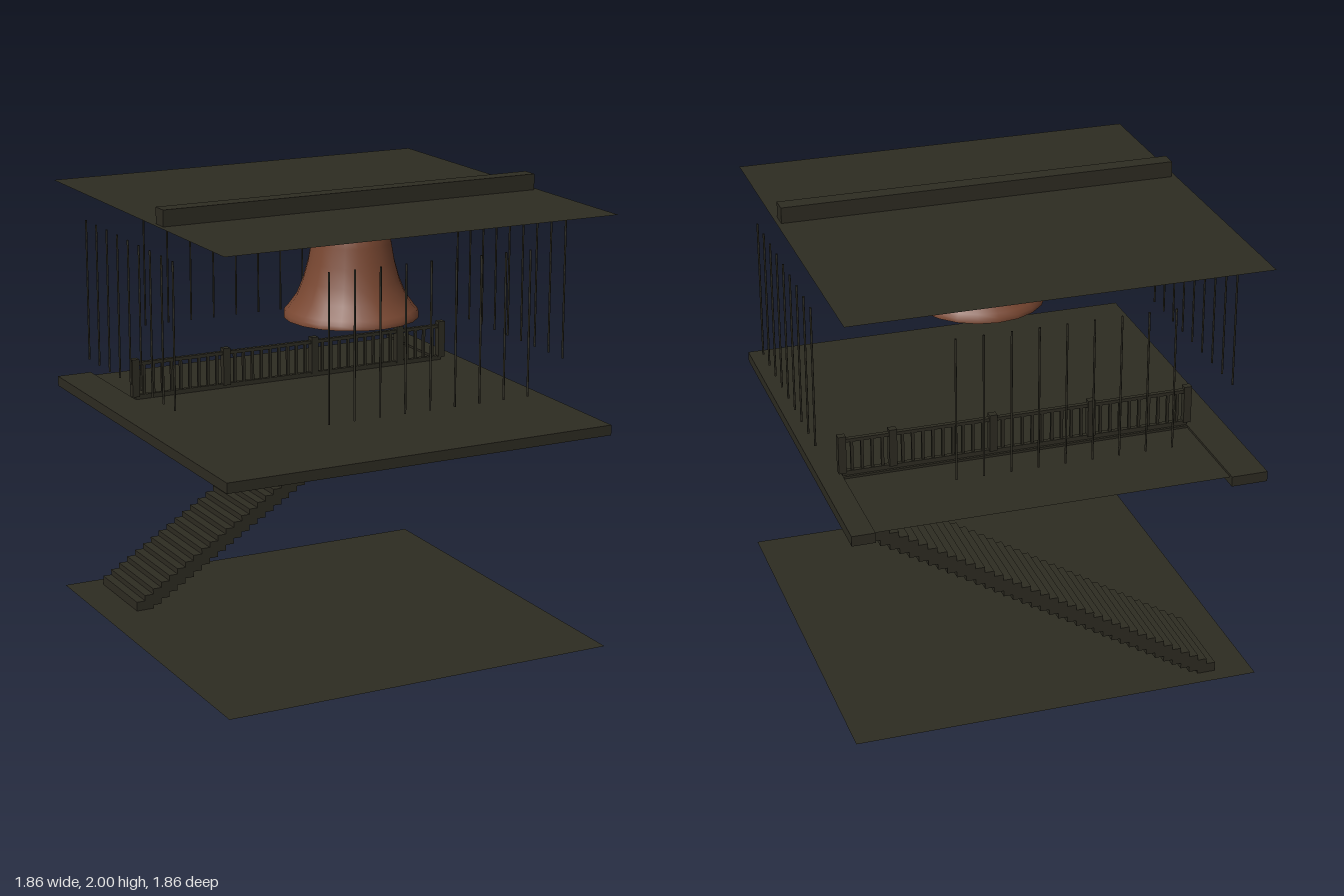
import * as THREE from 'three';

export function createModel() {
  const model = new THREE.Group();
  model.name = 'bellTower';

  const darkWood = new THREE.MeshStandardMaterial({ color: 0x2e2c22, side: THREE.DoubleSide });
  darkWood.name = 'dark wood';
  const bronze = new THREE.MeshStandardMaterial({ color: 0x7a4832, side: THREE.DoubleSide });
  bronze.name = 'bronze';

  const add = (parent, name, geometry, material, x = 0, y = 0, z = 0) => {
    const mesh = new THREE.Mesh(geometry, material);
    mesh.name = name;
    mesh.position.set(x, y, z);
    parent.add(mesh);
    return mesh;
  };
  // Box given by its limits on each axis
  const box = (parent, name, x0, x1, y0, y1, z0, z1) =>
    add(parent, name, new THREE.BoxGeometry(x1 - x0, y1 - y0, z1 - z0), darkWood,
      (x0 + x1) / 2, (y0 + y1) / 2, (z0 + z1) / 2);
  const group = (name) => {
    const g = new THREE.Group();
    g.name = name;
    model.add(g);
    return g;
  };

  // Thin square sheets: ground floor, belfry floor and ceiling
  const sheet = new THREE.PlaneGeometry(1.8, 1.8).rotateX(-Math.PI / 2);
  add(model, 'groundFloor', sheet, darkWood, 0, 0.02, 0);
  add(model, 'belfryFloor', sheet, darkWood, 0, 1.012, 0);
  add(model, 'ceiling', sheet, darkWood, 0, 1.93, 0);

  // Belfry slab with a stairwell notch at the back
  const outline = [[-0.9, -0.9], [0.9, -0.9], [0.9, 0.92], [0.8, 0.92],
    [0.8, 0.42], [-0.74, 0.42], [-0.74, 0.92], [-0.9, 0.92]];
  const slab = new THREE.ExtrudeGeometry(
    new THREE.Shape(outline.map(([x, y]) => new THREE.Vector2(x, y))),
    { depth: 0.045, bevelEnabled: false }).rotateX(-Math.PI / 2);
  add(model, 'belfrySlab', slab, darkWood, 0, 0.977, 0);

  // Overlapping stair treads rising towards +x
  const stairs = group('stairs');
  box(stairs, 'stairFoot', -0.7, -0.66, 0, 0.03, -0.83, -0.43);
  for (let i = 0; i < 37; i++) {
    const x = -0.7 + i * 0.0405, y = 0.036 + i * 0.0256;
    box(stairs, 'tread', x - 0.04, x + 0.04, y - 0.026, y + 0.026, -0.83, -0.43);
  }

  // Railing beside the stairwell
  const railing = group('railing');
  const posts = [-0.74, -0.3, 0.14, 0.58, 0.8];
  for (const x of posts) box(railing, 'post', x - 0.017, x + 0.017, 1.035, 1.205, -0.415, -0.383);
  box(railing, 'bottomRail', -0.74, 0.8, 1.02, 1.042, -0.409, -0.389);
  box(railing, 'topRail', -0.74, 0.8, 1.175, 1.19, -0.409, -0.389);
  for (let i = 1; i < 35; i++) {
    if (i % 10 === 0) continue;
    const x = -0.74 + i * 0.044;
    box(railing, 'baluster', x - 0.006, x + 0.006, 1.04, 1.178, -0.405, -0.393);
  }

  // Nine slim rods along each of the four open sides
  const rods = group('rods');
  const rod = new THREE.CylinderGeometry(0.0045, 0.0045, 0.62, 8, 1, true);
  for (let i = -4; i <= 4; i++) {
    for (const side of [-0.925, 0.925]) {
      add(rods, 'rod', rod, darkWood, i * 0.1155, 1.52, side);
      add(rods, 'rod', rod, darkWood, side, 1.52, i * 0.1155);
    }
  }

  // Beam carrying the bell
  box(model, 'beam', -0.88, 0.88, 1.93, 2, 0.195, 0.27);

  // Bell
  const profile = [[0.29, 1.458], [0.29, 1.478], [0.275, 1.495], [0.235, 1.55], [0.207, 1.62],
    [0.185, 1.7], [0.171, 1.78], [0.16, 1.84], [0.135, 1.893], [0.07, 1.921], [0, 1.924]];
  const bell = new THREE.LatheGeometry(profile.map(([r, y]) => new THREE.Vector2(r, y)), 20);
  add(model, 'bell', bell, bronze, 0, 0, 0.233);

  return model;
}
